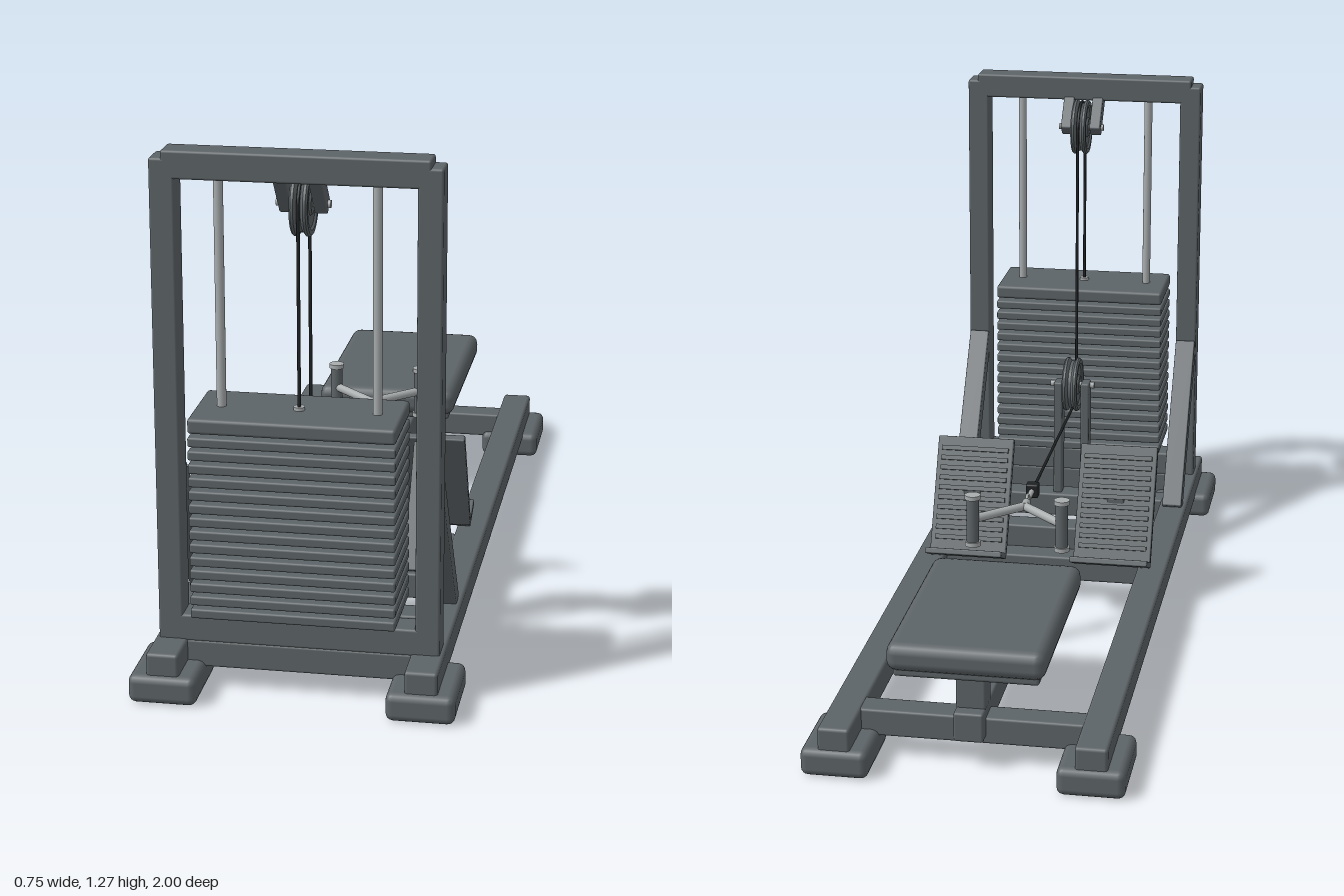
import * as THREE from 'three';
import { toCreasedNormals } from 'three/addons/utils/BufferGeometryUtils.js';
import { RoundedBoxGeometry } from 'three/addons/geometries/RoundedBoxGeometry.js';

const material = (name, color) => {
  const m = new THREE.MeshStandardMaterial({ color });
  m.name = name;
  return m;
};

export function createModel() {
  const model = new THREE.Group();
  model.name = 'cableRowMachine';
  const frame = material('charcoalSteel', 0x5d6467);
  const chrome = material('brightSteel', 0xa9adae);
  const black = material('blackCable', 0x1f2224);

  const add = (name, geo, mat, parent = model) => {
    const mesh = new THREE.Mesh(geo, mat);
    mesh.name = name;
    parent.add(mesh);
    return mesh;
  };

  // Rounded box from its extents
  const box = (name, x0, x1, y0, y1, z0, z1, r = 0.006, mat = frame) => {
    const mesh = add(name, new RoundedBoxGeometry(x1 - x0, y1 - y0, z1 - z0, 2, r), mat);
    mesh.position.set((x0 + x1) / 2, (y0 + y1) / 2, (z0 + z1) / 2);
    return mesh;
  };

  // Sloping bar in a side plane, between two [z, y] points
  const beam = (name, x, a, b, width, thick) => {
    const dz = b[0] - a[0], dy = b[1] - a[1];
    const mesh = add(name, new RoundedBoxGeometry(width, thick, Math.hypot(dz, dy), 2, 0.004), frame);
    mesh.position.set(x, (a[1] + b[1]) / 2, (a[0] + b[0]) / 2);
    mesh.rotation.x = -Math.atan2(dy, dz);
    return mesh;
  };

  // Round bar between two points
  const rod = (name, a, b, r, mat = chrome, sides = 16) => {
    const p = new THREE.Vector3(...a), q = new THREE.Vector3(...b);
    const d = q.clone().sub(p);
    const mesh = add(name, new THREE.CylinderGeometry(r, r, d.length(), sides), mat);
    mesh.position.copy(p).add(q).multiplyScalar(0.5);
    mesh.quaternion.setFromUnitVectors(new THREE.Vector3(0, 1, 0), d.normalize());
    return mesh;
  };

  // Grooved pulley with its axle
  const pulley = (name, y, z) => {
    const profile = [[0, -0.021], [0.024, -0.021], [0.028, -0.016], [0.056, -0.016], [0.06, -0.021],
      [0.071, -0.021], [0.075, -0.017], [0.075, -0.011], [0.066, -0.004], [0.066, 0.004], [0.075, 0.011],
      [0.075, 0.017], [0.071, 0.021], [0.06, 0.021], [0.056, 0.016], [0.028, 0.016], [0.024, 0.021], [0, 0.021]]
      .map(([r, h]) => new THREE.Vector2(r, h));
    const wheel = add(name, toCreasedNormals(new THREE.LatheGeometry(profile, 40), 0.5), frame);
    wheel.rotation.z = Math.PI / 2;
    wheel.position.set(0, y, z);
    rod(name + 'Axle', [-0.062, y, z], [0.062, y, z], 0.009);
  };

  // Base, uprights and footplates, mirrored left and right
  for (const s of [-1, 1]) {
    const side = s > 0 ? 'left' : 'right';
    const span = (name, a, b, ...rest) => box(side + name, Math.min(s * a, s * b), Math.max(s * a, s * b), ...rest);

    span('FrontFoot', 0.218, 0.377, 0, 0.068, 0.79, 1, 0.018);
    span('BackFoot', 0.218, 0.377, 0, 0.068, -1, -0.785, 0.018);
    span('Rail', 0.26, 0.336, 0.05, 0.12, -0.99, 0.985, 0.008);
    span('Upright', 0.27, 0.327, 0.11, 1.257, 0.818, 0.888);
    beam(side + 'UprightBrace', s * 0.298, [0.83, 0.515], [0.555, 0.115], 0.054, 0.045);
    rod(side + 'GuideRod', [s * 0.178, 0.17, 0.853], [s * 0.178, 1.22, 0.853], 0.011);

    // Top pulley bracket and low pulley post
    beam(side + 'PulleyBracket', s * 0.04, [0.85, 1.225], [0.77, 1.132], 0.03, 0.04);
    span('PulleyPost', 0.026, 0.05, 0.11, 0.445, 0.617, 0.665, 0.005);

    // Inclined footplate with grip ribs, lip and supports
    const plate = beam(side + 'Footplate', s * 0.193, [0.085, 0.13], [0.222, 0.41], 0.205, 0.02);
    for (let i = 0; i < 10; i++) {
      const rib = add('footplateRib', new THREE.BoxGeometry(0.18, 0.012, 0.012), frame, plate);
      rib.position.set(0, 0.013, -0.115 + i * 0.0265);
    }
    beam(side + 'FootplateLip', s * 0.193, [0.09, 0.128], [0.012, 0.163], 0.205, 0.016);
    beam(side + 'FootplateBrace', s * 0.193, [0.225, 0.392], [0.392, 0.115], 0.046, 0.036);
    span('FootplatePost', 0.17, 0.216, 0.11, 0.29, 0.145, 0.192, 0.005);

    // Handle arm and grip
    rod(side + 'HandleArm', [0, 0.365, -0.145], [s * 0.113, 0.365, -0.255], 0.011);
    rod(side + 'Grip', [s * 0.113, 0.3, -0.255], [s * 0.113, 0.425, -0.255], 0.016, frame);
    for (const [y0, y1] of [[0.295, 0.306], [0.419, 0.43]])
      rod(side + 'GripCap', [s * 0.113, y0, -0.255], [s * 0.113, y1, -0.255], 0.02);
  }

  // Cross members
  for (const z of [0.853, 0.635, 0.38, 0.165, -0.835])
    box('crossMember', -0.27, 0.27, 0.053, 0.118, z - 0.035, z + 0.035);
  box('towerBottomBar', -0.3, 0.3, 0.115, 0.18, 0.818, 0.888);
  box('towerTopBar', -0.3, 0.3, 1.21, 1.275, 0.818, 0.888);

  // Weight stack
  for (let i = 0; i < 14; i++) {
    const y = 0.203 + i * 0.0317;
    box('weightPlate', -0.235, 0.235, y, y + 0.023, 0.745, 0.958, 0.005);
  }
  box('topWeightPlate', -0.235, 0.235, 0.646, 0.682, 0.745, 0.958, 0.008);
  rod('selectorRod', [0, 0.17, 0.853], [0, 0.69, 0.853], 0.013);

  // Pulleys and cable
  pulley('topPulley', 1.143, 0.783);
  pulley('lowPulley', 0.435, 0.643);
  const points = [new THREE.Vector3(0, 0.68, 0.853)];
  const arc = (y, z, from, to) => {
    for (let i = 0; i <= 16; i++) {
      const t = from + (to - from) * i / 16;
      points.push(new THREE.Vector3(0, y + 0.07 * Math.sin(t), z + 0.07 * Math.cos(t)));
    }
  };
  arc(1.143, 0.783, 0, Math.PI);
  arc(0.435, 0.643, 0, -Math.PI / 2);
  points.push(new THREE.Vector3(0, 0.365, -0.02));
  const path = new THREE.CurvePath();
  for (let i = 1; i < points.length; i++) path.add(new THREE.LineCurve3(points[i - 1], points[i]));
  add('cable', new THREE.TubeGeometry(path, 400, 0.004, 8), black);

  // Cable stop, link and ring
  box('cableStop', -0.016, 0.016, 0.347, 0.383, -0.04, -0.01, 0.004, black);
  rod('cableLink', [0, 0.365, -0.035], [0, 0.365, -0.09], 0.007);
  const ring = add('handleRing', new THREE.TorusGeometry(0.015, 0.004, 8, 24), chrome);
  ring.rotation.y = Math.PI / 2;
  ring.position.set(0, 0.365, -0.105);
  rod('handleNeck', [0, 0.365, -0.118], [0, 0.365, -0.152], 0.011);

  // Seat on its centre beam
  box('seatBeam', -0.035, 0.035, 0.07, 0.142, -0.905, -0.38);
  for (const z of [-0.49, -0.838]) {
    box('seatPost', -0.035, 0.035, 0.135, 0.24, z - 0.034, z + 0.034);
    box('seatPostFlange', -0.06, 0.06, 0.222, 0.238, z - 0.04, z + 0.04, 0.004);
  }
  box('seatBase', -0.17, 0.17, 0.235, 0.26, -0.93, -0.405, 0.008);
  box('seatPad', -0.185, 0.185, 0.25, 0.318, -0.945, -0.388, 0.025);

  return model;
}
